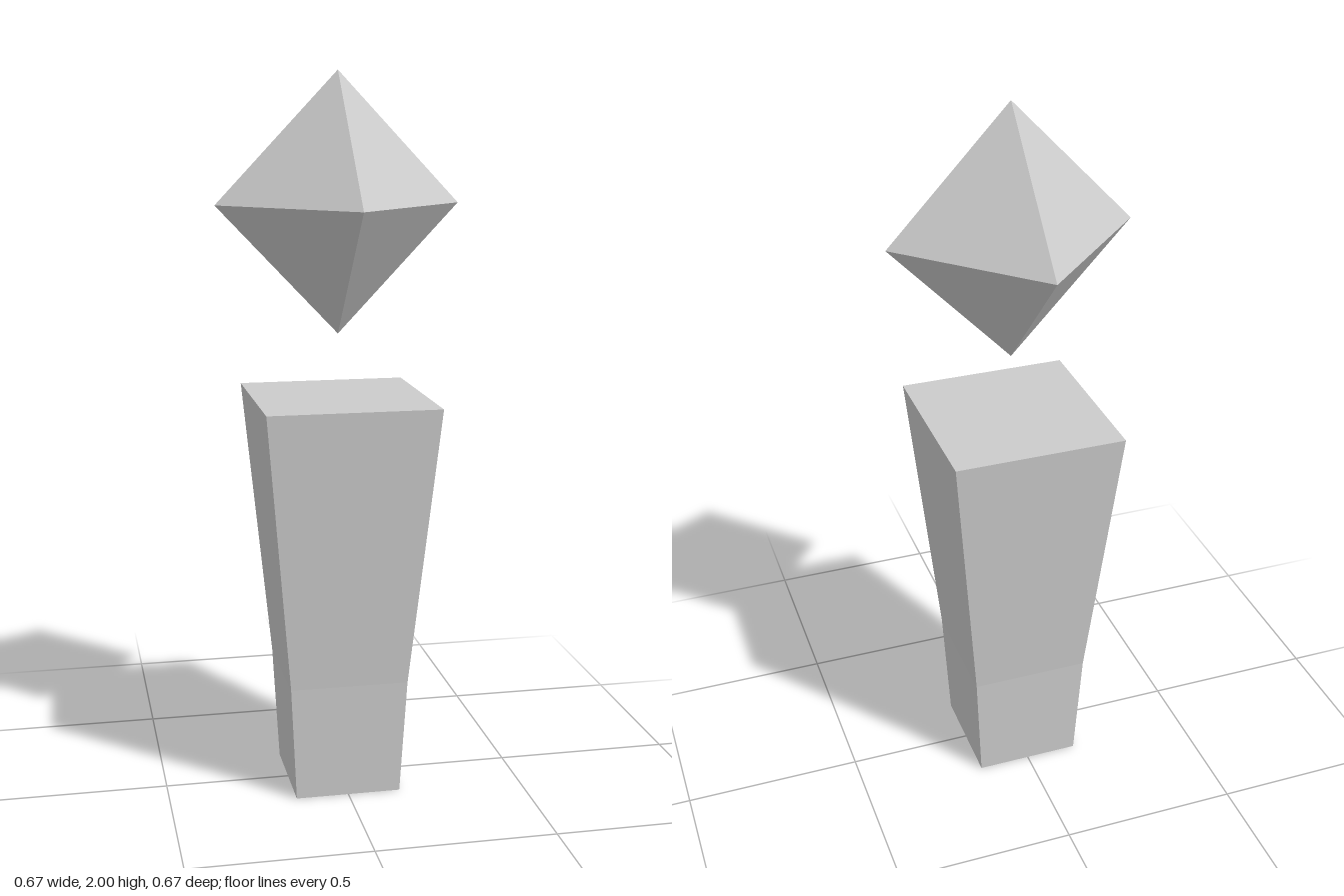
import * as THREE from 'three';

const material = new THREE.MeshStandardMaterial({ color: 0xcccccc, flatShading: true });

// Four-sided pillar whose rings [y, halfWidth, halfDepth] run from bottom to top
function taperedPillar(rings) {
  const geometry = new THREE.BoxGeometry(2, rings.length - 1, 2, 1, rings.length - 1, 1);
  const position = geometry.attributes.position;
  for (let i = 0; i < position.count; i++) {
    const ring = Math.round(position.getY(i) + (rings.length - 1) / 2);
    const [y, halfWidth, halfDepth] = rings[ring];
    position.setXYZ(i, position.getX(i) * halfWidth, y, position.getZ(i) * halfDepth);
  }
  geometry.computeVertexNormals();
  return geometry;
}

export function createModel() {
  const model = new THREE.Group();
  model.name = 'crystalPillar';

  // Body: narrow foot, slight bend low down, wide flat top
  const body = new THREE.Mesh(taperedPillar([
    [0, 0.148, 0.153],
    [0.33, 0.165, 0.17],
    [1.12, 0.238, 0.247],
  ]), material);
  body.name = 'body';
  model.add(body);

  // Floating eight-sided crystal, a little taller than wide
  const crystal = new THREE.Mesh(new THREE.OctahedronGeometry(1), material);
  crystal.name = 'floatingCrystal';
  crystal.geometry.scale(0.335, 0.353, 0.335);
  crystal.position.y = 1.647;
  model.add(crystal);

  return model;
}
